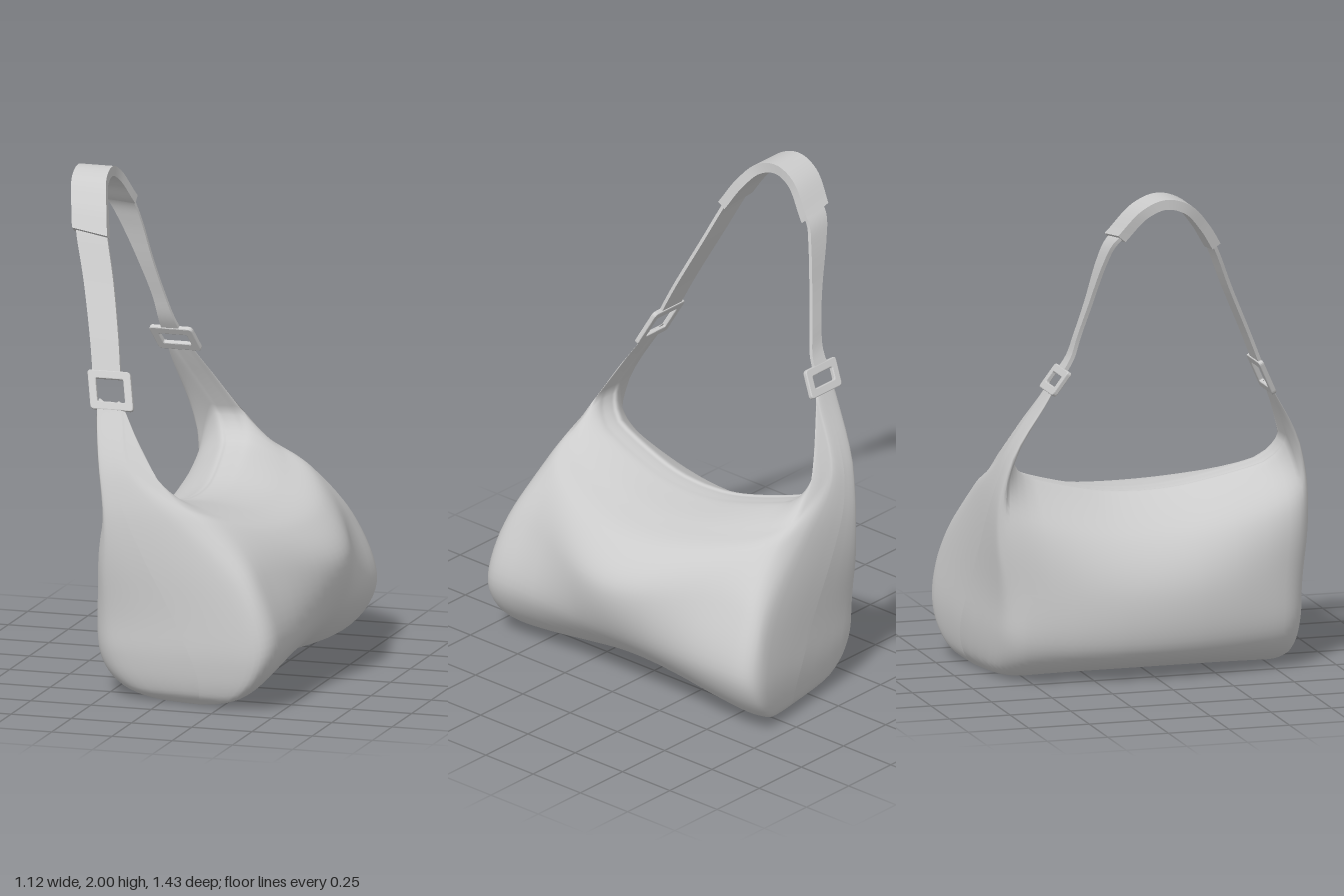
import * as THREE from 'three';
import { toCreasedNormals } from 'three/addons/utils/BufferGeometryUtils.js';

const grey = new THREE.MeshStandardMaterial({ color: 0xcccccc, side: THREE.DoubleSide });
const { lerp, clamp, smoothstep } = THREE.MathUtils;
const V = (x, y, z = 0) => new THREE.Vector3(x, y, z);

// Smooth lookup in [[x, y], ...]
function lookup(table, x) {
  const last = table.length - 1;
  x = clamp(x, table[0][0], table[last][0]);
  const slope = i => {
    const a = table[Math.max(i - 1, 0)], b = table[Math.min(i + 1, last)];
    return (b[1] - a[1]) / (b[0] - a[0]);
  };
  let i = 1;
  while (x > table[i][0]) i++;
  const [x0, y0] = table[i - 1], [x1, y1] = table[i];
  const h = x1 - x0, t = (x - x0) / h, s = 1 - t;
  return y0 * s * s * (1 + 2 * t) + y1 * t * t * (3 - 2 * t) + h * t * s * (slope(i - 1) * s - slope(i) * t);
}

// Skin a list of equal closed rings
function loft(rings, capped) {
  const n = rings[0].length, index = [];
  for (let r = 0; r + 1 < rings.length; r++) {
    for (let j = 0; j < n; j++) {
      const a = r * n + j, b = r * n + (j + 1) % n;
      index.push(a, a + n, b, b, a + n, b + n);
    }
  }
  if (capped) {
    const e = (rings.length - 1) * n;
    for (let j = 1; j + 1 < n; j++) index.push(0, j, j + 1, e, e + j + 1, e + j);
  }
  const geo = new THREE.BufferGeometry().setFromPoints(rings.flat());
  geo.setIndex(index);
  geo.computeVertexNormals();
  return geo;
}

// Body cross-sections, clockwise from the top: at the middle and at the ends
const MID = [[.02, .712], [.08, .71], [.25, .69], [.43, .635], [.558, .48], [.49, .24], [.28, .07],
  [0, .025], [-.22, .04], [-.36, .14], [-.378, .37], [-.28, .56], [-.08, .70], [-.03, .71]];
const END = [[-.23, 1.15], [-.19, 1.135], [-.108, .93], [.13, .765], [.395, .53], [.486, .25], [.33, .04],
  [0, 0], [-.16, .03], [-.255, .16], [-.262, .42], [-.25, .74], [-.32, 1.125], [-.28, 1.15]];
// How far each point follows the rising strap tab
const TAB = [1, 1, .85, .3, 0, 0, 0, 0, 0, 0, 0, .4, 1, 1];
const TOP_RISE = [[0, 0], [.16, .01], [.31, .04], [.5, .1], [.71, .18], [.79, .22], [.86, .29],
  [.93, .41], [.96, .53], [.985, 1], [1.01, 1]];
const END_Z = [[0, .645], [.05, .69], [.18, .715], [.3, .715], [.5, .692], [.7, .65], [.9, .602],
  [1, .557], [1.14, .475], [1.3, .39]];

function endDepth(x, y) {
  const slant = smoothstep(.8 - y, 0, .55) * .155;
  return lookup(END_Z, y) - slant * Math.max(0, .4 - x);
}

function bodyRing(g, side, inset) {
  const wt = lookup(TOP_RISE, g), n = MID.length;
  const pts = MID.map(([x, y], i) => {
    const wb = i >= 4 && i <= 6 ? smoothstep(g, 0, .92) : Math.min(1, g * g);
    const w = lerp(wb, wt, TAB[i]);
    const raise = side < 0 && (i < 2 || i > n - 3) ? .03 * wt : 0;
    return V(lerp(x, END[i][0], w), lerp(y, END[i][1], w) + raise);
  });
  const curve = new THREE.CatmullRomCurve3(pts, true, 'catmullrom', .5);
  const M = n * 8, ring = [];
  for (let j = 0; j < M; j++) ring.push(curve.getPoint(j / M));
  // Pull towards the middle line of the end panel
  return ring.map((p, j) => {
    const q = ring[(M - 8 - j + M) % M];
    const m = p.clone().lerp(q, inset / 2);
    m.y = Math.max(0, m.y);
    m.z = side * endDepth(m.x, m.y) * g;
    return m;
  });
}

function buildBody() {
  const half = [.08, .16, .24, .31, .4, .5, .6, .71, .79, .86].map(g => [g, 0]);
  half.push([.9, .012], [.93, .03], [.955, .06], [.975, .1], [.988, .15], [.996, .22], [1, .32],
    [1.003, .5], [1.004, .75], [1.004, 1]);
  const rings = [
    ...half.slice().reverse().map(([g, v]) => bodyRing(g, -1, v)),
    bodyRing(0, 1, 0),
    ...half.map(([g, v]) => bodyRing(g, 1, v)),
  ];
  return loft(rings, false);
}

// Flat band along a path; its width lies along x, with slightly raked ends
function band(points, widths, thickness, steps = 32) {
  const curve = new THREE.CatmullRomCurve3(points.map(p => V(...p)));
  const table = widths.map((w, i) => [i / (widths.length - 1), w]);
  const rings = [];
  for (let i = 0; i <= steps; i++) {
    const u = i / steps, p = curve.getPointAt(u), t = curve.getTangentAt(u);
    const across = V(1, 0, 0).addScaledVector(t, -.22 * t.y).multiplyScalar(lookup(table, u) / 2);
    const up = t.clone().cross(V(1, 0, 0)).setLength(thickness / 2);
    rings.push([[-1, 1], [1, 1], [1, -1], [-1, -1]].map(([a, b]) =>
      p.clone().addScaledVector(across, a).addScaledVector(up, b)));
  }
  return toCreasedNormals(loft(rings, true), .7);
}

function roundedRect(target, w, h, r) {
  const x = w / 2, y = h / 2;
  target.moveTo(-x + r, -y);
  target.lineTo(x - r, -y).quadraticCurveTo(x, -y, x, -y + r);
  target.lineTo(x, y - r).quadraticCurveTo(x, y, x - r, y);
  target.lineTo(-x + r, y).quadraticCurveTo(-x, y, -x, y - r);
  target.lineTo(-x, -y + r).quadraticCurveTo(-x, -y, -x + r, -y);
  return target;
}

// Rectangular ring buckle, aligned with the strap direction
function buckle(center, along, length) {
  const shape = roundedRect(new THREE.Shape(), .17, length, .012);
  shape.holes.push(roundedRect(new THREE.Path(), .122, length - .052, .01));
  const geo = new THREE.ExtrudeGeometry(shape, {
    depth: .012, bevelEnabled: true, bevelSize: .004, bevelThickness: .004, bevelSegments: 2, curveSegments: 4,
  });
  geo.translate(0, 0, -.006);
  const t = V(...along).normalize(), x = V(1, 0, 0);
  const n = x.clone().cross(t).normalize();
  geo.applyMatrix4(new THREE.Matrix4().makeBasis(x, t, n).setPosition(...center));
  return geo;
}

export function createModel() {
  const model = new THREE.Group();
  model.name = 'shoulderBag';
  const add = (name, geo) => {
    const mesh = new THREE.Mesh(geo, grey);
    mesh.name = name;
    model.add(mesh);
  };

  add('bagBody', buildBody());

  // Buckles joining the body tabs to the strap
  add('frontBuckle', buckle([-.27, 1.205, .435], [-.22, .85, -.42], .155));
  add('backBuckle', buckle([-.278, 1.235, -.418], [-.22, .8, .5], .11));

  // Strap legs
  add('frontStrap', band([[-.295, 1.262, .408], [-.32, 1.38, .357], [-.378, 1.6, .255], [-.43, 1.77, .18],
    [-.45, 1.85, .135]], [.115, .12, .125, .13], .014));
  add('backStrap', band([[-.287, 1.265, -.4], [-.3, 1.33, -.365], [-.322, 1.42, -.342], [-.36, 1.55, -.31],
    [-.415, 1.73, -.27], [-.442, 1.81, -.242], [-.46, 1.87, -.19]], [.075, .052, .062, .09, .115], .016));

  // Padded shoulder piece over the top
  add('shoulderPad', band([[-.435, 1.775, .183], [-.458, 1.87, .122], [-.483, 1.952, .045], [-.49, 1.979, -.045],
    [-.483, 1.945, -.13], [-.45, 1.835, -.225]], [.145, .145, .142, .14, .135], .04));

  return model;
}
